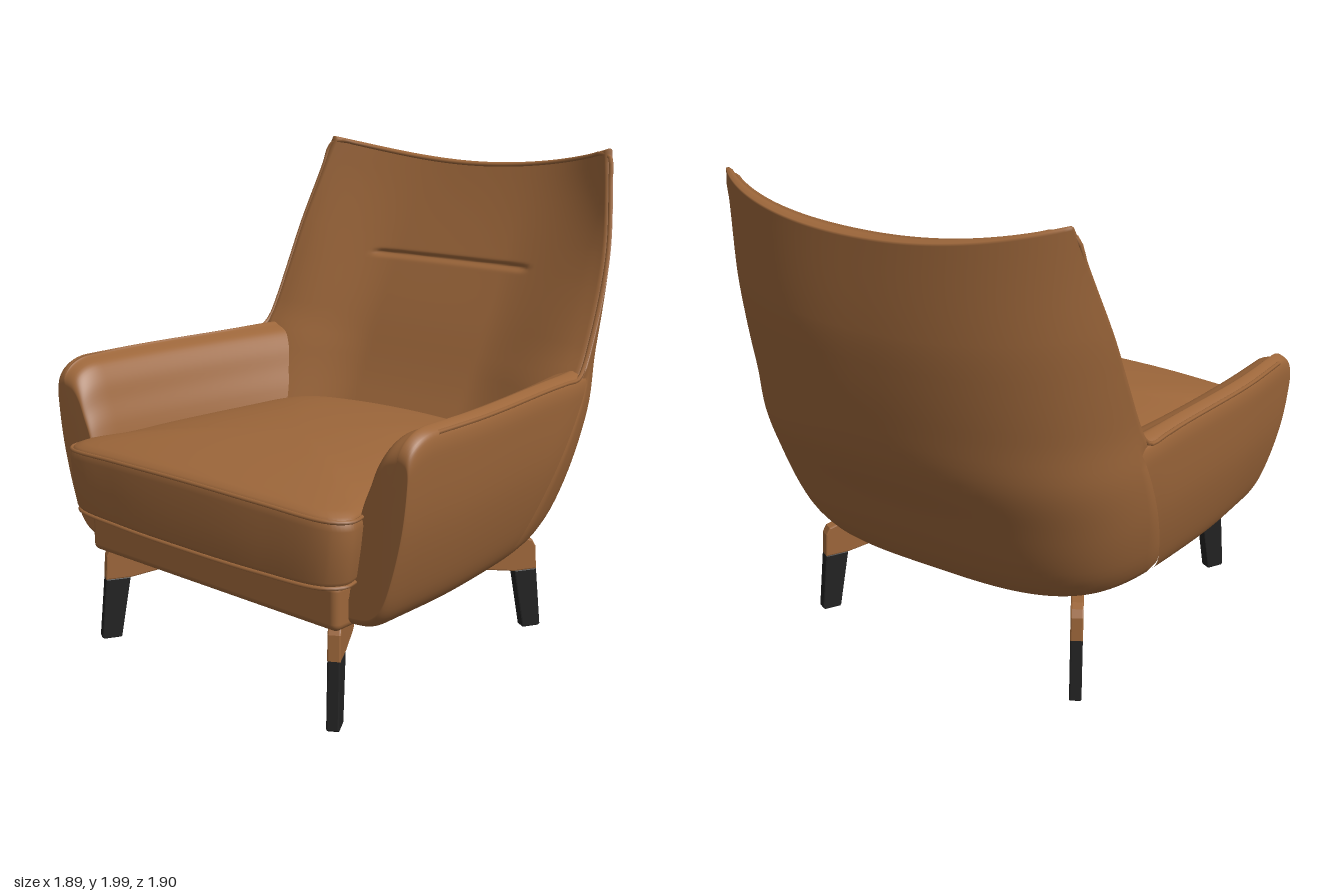
import * as THREE from 'three';
import { RoundedBoxGeometry } from 'three/addons/geometries/RoundedBoxGeometry.js';

const V = (x, y, z) => new THREE.Vector3(x, y, z);
const { lerp, smoothstep, clamp } = THREE.MathUtils;

const leather = new THREE.MeshStandardMaterial({ color: 0x9c663a });
leather.name = 'tan leather';
const black = new THREE.MeshStandardMaterial({ color: 0x222222 });
black.name = 'black leg';

// Smooth lookup in a table of [key, value] pairs
function table(rows) {
  const slope = (i) => {
    const a = rows[Math.max(i - 1, 0)], b = rows[Math.min(i + 1, rows.length - 1)];
    return (b[1] - a[1]) / (b[0] - a[0]);
  };
  return (k) => {
    let i = 0;
    while (i < rows.length - 2 && k > rows[i + 1][0]) i++;
    const [k0, v0] = rows[i], [k1, v1] = rows[i + 1], h = k1 - k0;
    const t = clamp((k - k0) / h, 0, 1), t2 = t * t, t3 = t2 * t;
    return v0 * (2 * t3 - 3 * t2 + 1) + v1 * (3 * t2 - 2 * t3)
      + h * slope(i) * (t3 - 2 * t2 + t) + h * slope(i + 1) * (t3 - t2);
  };
}

// Skin over closed rings with equal point counts, optional fan caps, facing outward
function loft(rings, capStart, capEnd) {
  const n = rings[0].length, pts = rings.flat(), idx = [];
  for (let r = 0; r < rings.length - 1; r++)
    for (let i = 0; i < n; i++) {
      const a = r * n + i, b = r * n + (i + 1) % n;
      idx.push(a, b, b + n, a, b + n, a + n);
    }
  const cap = (r) => {
    const c = pts.length;
    pts.push(rings[r].reduce((s, p) => s.add(p), V(0, 0, 0)).divideScalar(n));
    for (let i = 0; i < n; i++) {
      const a = r * n + i, b = r * n + (i + 1) % n;
      if (r) idx.push(a, b, c); else idx.push(b, a, c);
    }
  };
  if (capStart) cap(0);
  if (capEnd) cap(rings.length - 1);
  // turn the faces outward
  const centre = pts.reduce((s, p) => s.add(p), V(0, 0, 0)).divideScalar(pts.length);
  const corner = (i) => pts[idx[i]].clone().sub(centre);
  let volume = 0;
  for (let i = 0; i < idx.length; i += 3) volume += corner(i).dot(corner(i + 1).cross(corner(i + 2)));
  if (volume < 0) idx.reverse();
  const g = new THREE.BufferGeometry().setFromPoints(pts);
  g.setIndex(idx);
  g.computeVertexNormals();
  return g;
}

// Shell rules by height: half width, back depth, inner back depth, wing edge depth
const halfWidth = table([[0.385, 0.63], [0.4, 0.69], [0.43, 0.73], [0.48, 0.765], [0.6, 0.81], [0.8, 0.86],
  [1, 0.883], [1.2, 0.886], [1.4, 0.898], [1.6, 0.91], [1.8, 0.915], [2, 0.925]]);
const backZ = table([[0.385, -0.43], [0.42, -0.53], [0.5, -0.61], [0.6, -0.67], [0.8, -0.76], [1, -0.85],
  [1.2, -0.895], [1.4, -0.925], [1.6, -0.943], [2, -0.95]]);
const innerZ = table([[0.385, 0.06], [0.55, -0.15], [0.9, -0.385], [1.2, -0.535], [1.5, -0.675], [2, -0.885]]);
const upperEdge = table([[1.14, -0.415], [1.2, -0.455], [1.4, -0.55], [1.6, -0.63], [1.8, -0.7], [2, -0.76]]);
const edgeZ = (y) => (y > 1.14 ? upperEdge(y) : -0.415 + (1.14 - y) * 0.55);
const DEPTH = 0.63;
const power = (y) => lerp(3.4, 2.5, smoothstep(y, 0.4, 1.2)); // squarer plan near the floor
const widen = (z) => 0.06 * smoothstep(z, -0.35, 0.45);
function outerX(y, z) {
  const r = clamp((backZ(y) + DEPTH - z) / DEPTH, 0, 1), pow = power(y);
  return halfWidth(y) * Math.pow(1 - Math.pow(r, pow), 1 / pow) + widen(z);
}
const LAP = 0.05; // how far the arm skin runs back past the wing edge

// Horizontal section of the back: outer curve, then inner curve
const N = 72;
function backSection(Y) {
  const zc = backZ(Y) + DEPTH, ze = Math.min(edgeZ(Y), zc), xe = outerX(Y, ze), pow = power(Y);
  const phiMax = Math.acos(Math.pow((zc - ze) / DEPTH, pow / 2));
  const place = (x, z) => {
    const sag = 0.1 * Math.max(0, 1 - (x / 0.76) ** 2) * smoothstep(Y, 1.2, 2);
    return V(x, Y - sag, z);
  };
  const ring = [];
  const step = (i) => (i === 1 ? 0.985 : i === N - 1 ? -0.985 : 1 - 2 * i / N);
  const tuck = 0.03 * (1 - smoothstep(Y, 1.08, 1.14)); // hidden under the arm skin
  for (let i = 0; i <= N; i++) {
    const phi = step(i) * phiMax, s = Math.sin(phi);
    const z = zc - DEPTH * Math.pow(Math.max(Math.cos(phi), 0), 2 / pow);
    const x = Math.pow(Math.abs(s), 2 / pow) * halfWidth(Y) + widen(z) - tuck * smoothstep(z, ze - LAP, ze);
    ring.push(place(Math.sign(s) * x, z));
  }
  for (let i = 0; i <= N; i++) {
    const q = -step(i), a = Math.abs(q);
    const curl = lerp(smoothstep(a, 0.35, 0.95), a ** 3.5, smoothstep(Y, 1.2, 1.9));
    const p = place(q * (xe - 0.025 - tuck), lerp(innerZ(Y), ze + 0.01, curl));
    // stitched crease
    p.z -= 0.018 * Math.exp(-(((p.y - 1.483) / 0.012) ** 2)) * (1 - smoothstep(Math.abs(p.x), 0.38, 0.44));
    ring.push(p);
  }
  return ring;
}

function backGeometry() {
  const ys = [0.385, 0.39, 0.4, 0.415, 0.43, 0.455, 0.48];
  for (let y = 0.52; y < 1.45; y += 0.04) ys.push(y);
  for (let y = 1.46; y < 1.6; y += 0.006) ys.push(y);
  for (let y = 1.62; y < 1.98; y += 0.04) ys.push(y);
  ys.push(1.985, 1.995);
  const rings = ys.map(backSection);
  // close the ends on the midline between the outer and inner curve
  const mid = (ring, dy) => ring.map((p, i) => p.clone().lerp(ring[ring.length - 1 - i], 0.5).add(V(0, dy, 0)));
  return loft([mid(rings[0], 0), ...rings, mid(rings.at(-1), 0.005)]);
}

// Arm: section points follow the shell outside and a padded slope inside
const armOuterY = [0.387, 0.4, 0.43, 0.48, 0.6, 0.8, 1.0, 1.09];
const armInner = [[0.77, 1.135], [0.71, 1.11], [0.665, 1.05], [0.63, 0.96], [0.595, 0.87], [0.555, 0.7],
  [0.525, 0.48], [0.5, 0.39]];
function armGeometry(side) {
  const rings = [];
  const M = 48;
  for (let k = 0; k <= M; k++) {
    const t = Math.sin((k / M) * Math.PI / 2);
    const zAt = (y, lap) => lerp(edgeZ(y) - lap, 0.772, t);
    const shift = 0.125 * (1 - (1 - t) ** 2);
    const pts = armOuterY.map((y) => V(outerX(y, zAt(y, LAP)), y, zAt(y, LAP)));
    const zt = zAt(1.13, LAP), xo = outerX(1.1, zt);
    pts.push(V(xo - 0.012, 1.126, zt), V(xo - 0.05, 1.143, zt));
    for (const [x, y] of armInner) pts.push(V(x + shift, y, zAt(y, 0.1)));
    // round off the front end
    const q = clamp((zAt(1, LAP) - 0.64) / 0.132, 0, 1), round = 1 - Math.sqrt(1 - q * q);
    for (const p of pts) {
      p.x = side * lerp(p.x, 0.83, 0.16 * round);
      p.y = lerp(p.y, 0.77, (p.y > 0.77 ? 0.27 : 0.13) * round);
    }
    rings.push(new THREE.CatmullRomCurve3(pts, true).getPoints(90).slice(0, -1));
  }
  return loft(rings, false, true);
}

// Seat cushion: T-shaped outline, crowned top
const half = [[0.3, -0.385], [0.5, -0.345], [0.58, -0.27], [0.63, 0], [0.68, 0.4], [0.695, 0.66],
  [0.735, 0.77], [0.745, 0.84], [0.69, 0.9], [0.4, 0.935]];
const outline = new THREE.CatmullRomCurve3([V(0, 0, -0.4), ...half.map(([x, z]) => V(x, 0, z)), V(0, 0, 0.945),
  ...half.map(([x, z]) => V(-x, 0, z)).reverse()], true).getPoints(132).slice(0, -1);
const cushionRing = (s, y, taper = 1) => outline.map((p) =>
  V(p.x * s * taper, y - (y > 0.7 ? 0.025 * (p.x * s / 0.75) ** 2 : 0), 0.3 + (p.z - 0.3) * s));
function cushionGeometry() {
  const rings = [[0.5, 0.565, 0.96], [0.95, 0.565, 0.96], [0.985, 0.572, 0.96], [1, 0.595, 0.965],
    [1.005, 0.7, 0.985], [1.005, 0.81, 1], [0.995, 0.84, 1], [0.98, 0.855, 1]].map((a) => cushionRing(...a));
  for (const s of [0.94, 0.88, 0.8, 0.7, 0.55, 0.4, 0.2, 0.05])
    rings.push(cushionRing(s, 0.857 + 0.05 * (1 - s ** 3)));
  return loft(rings, true, true);
}

// Leg profiles in (outward, up)
function blade(points, thickness) {
  const shape = new THREE.Shape(points.map(([x, y]) => new THREE.Vector2(x, y)));
  const g = new THREE.ExtrudeGeometry(shape, { depth: thickness - 0.012, bevelThickness: 0.006,
    bevelSize: 0.006, bevelOffset: -0.006, bevelSegments: 2 });
  return g.translate(0, 0, -(thickness - 0.012) / 2);
}

export function createModel() {
  const model = new THREE.Group();
  const add = (name, geometry, material = leather, parent = model) => {
    const mesh = new THREE.Mesh(geometry, material);
    mesh.name = name;
    parent.add(mesh);
    return mesh;
  };
  const piping = (name, pts, r, closed = false) => add(name, new THREE.TubeGeometry(
    new THREE.CatmullRomCurve3(pts, closed), 180, r, 6, closed));

  add('backrest', backGeometry());
  add('leftArm', armGeometry(1));
  add('rightArm', armGeometry(-1));
  add('seatCushion', cushionGeometry());
  piping('cushionTopPiping', cushionRing(0.998, 0.842), 0.008, true);
  piping('cushionBottomPiping', cushionRing(0.99, 0.572, 0.962), 0.008, true);

  // Seat base with the front rail
  add('seatBase', new RoundedBoxGeometry(1.34, 0.18, 0.815, 4, 0.03)).position.set(0, 0.475, 0.4275);

  // Piping along the arm tops, wing edges and top rim
  const edge = [];
  for (let z = 0.62; z > -0.4; z -= 0.1) edge.push(V(outerX(1.1, z) - 0.01, 1.122, z));
  for (let y = 1.16; y < 1.97; y += 0.1) edge.push(backSection(y)[0].add(V(-0.01, 0, 0.002)));
  const rim = backSection(1.99).slice(N + 1).reverse();
  for (let i = 2; i <= N / 2; i += 2) edge.push(rim[i]);
  const mirrored = edge.slice(0, -1).map((p) => V(-p.x, p.y, p.z)).reverse();
  piping('edgePiping', [...edge, ...mirrored], 0.009);

  // Four splayed legs with leather-coloured brackets
  const bracket = blade([[0, 0.4], [0, 0.29], [0.02, 0.28], [0.155, 0.258], [0.258, 0.258], [0.252, 0.36],
    [0.235, 0.39], [0.2, 0.4]], 0.05);
  const foot = blade([[0.155, 0.262], [0.2, 0.005], [0.205, 0], [0.275, 0], [0.283, 0.008], [0.258, 0.262]], 0.049);
  for (const sx of [1, -1])
    for (const sz of [1, -1]) {
      const leg = new THREE.Group();
      leg.name = (sz > 0 ? 'front' : 'back') + (sx > 0 ? 'Left' : 'Right') + 'Leg';
      add('legBracket', bracket, leather, leg);
      add('legFoot', foot, black, leg);
      leg.position.set(sx * 0.502, 0, 0.168 + sz * 0.415);
      leg.rotation.y = Math.atan2(-sz * 0.866, sx * 0.5);
      model.add(leg);
    }
  return model;
}
